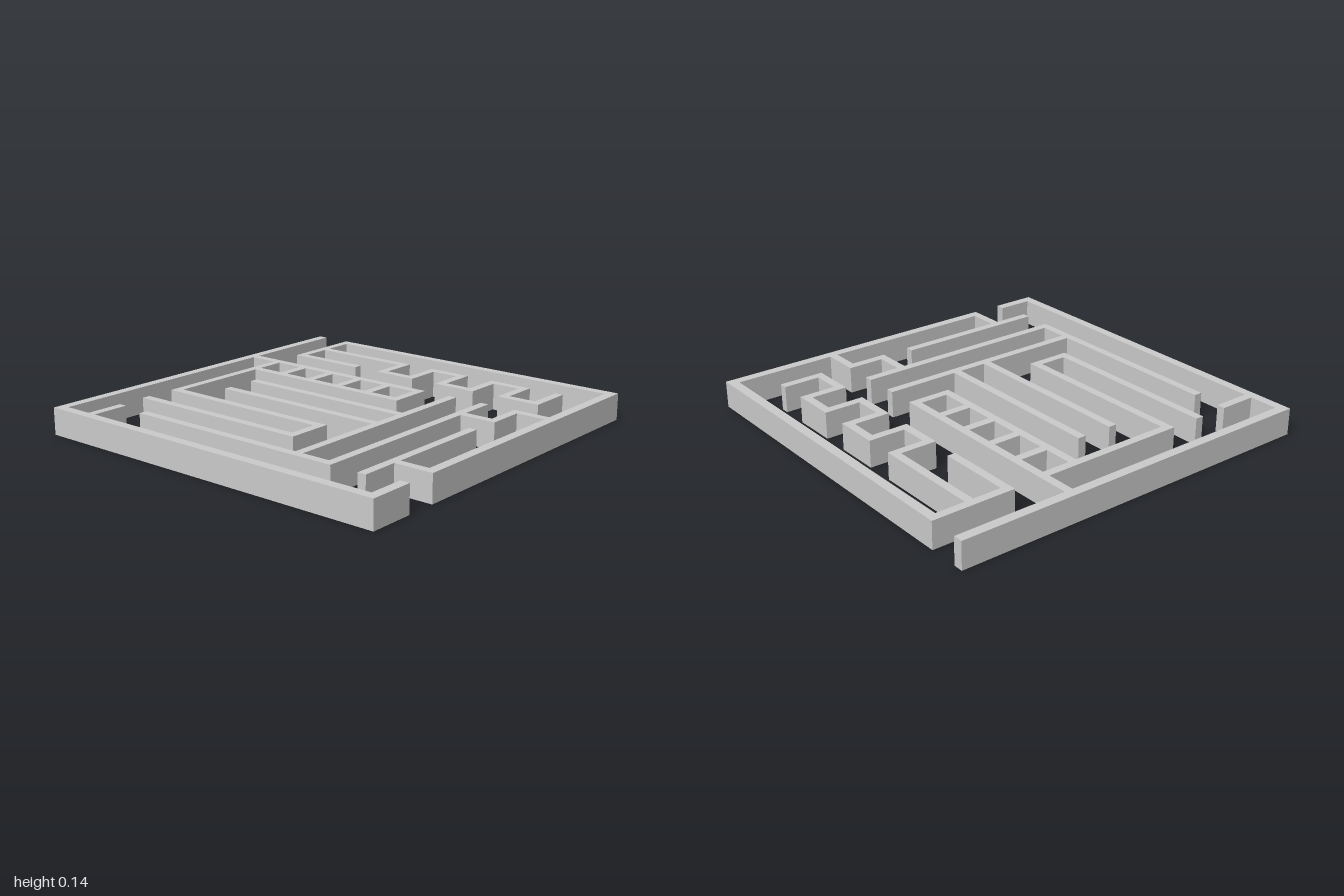
import * as THREE from 'three';

const HEIGHT = 0.14;
// Maze lines are numbered -5..5 on both axes; the outermost lines are slightly thicker.
const isOuter = k => Math.abs(k) === 5;
const pos = k => isOuter(k) ? Math.sign(k) * 0.975 : k * 0.1937;
const half = k => isOuter(k) ? 0.025 : 0.022;

// Walls running along x: [row, first column, last column]
const crossWalls = [
  [-5, -5, 5], [-4, -5, -4], [-4, -2, 2], [-4, 3, 5],
  [1, -3, -2], [2, -4, 2], [3, -4, 2], [4, -4, 0], [4, 1, 2],
  [5, -5, -4.05], [5, -3, 5],
];
// Ladder rungs and the zigzag on the right
for (let row = -3; row <= 1; row++) crossWalls.push([row, 1, 2]);
for (let row = -1; row <= 4; row++) crossWalls.push([row, 3, 4]);

// Walls running along z: [column, first row, last row]
const lengthWalls = [
  [-5, -5, 5], [-4, -3, 3], [-3, -4, 1], [-3, 4, 5], [-2, -4, 1],
  [-1, -3, 2], [0, -3, 2], [1, -4, 1], [1, 3, 4], [2, -5, 1], [2, 4, 5],
  [3, -4, -2], [3, -1, 0], [3, 1, 2], [3, 3, 4],
  [4, -4, -1], [4, 0, 1], [4, 2, 3], [5, -4, 5],
];

export function createModel() {
  const group = new THREE.Group();
  group.name = 'maze';
  const material = new THREE.MeshStandardMaterial({ color: 0xcccccc, flatShading: true });

  function addWall(name, x0, x1, z0, z1) {
    const wall = new THREE.Mesh(new THREE.BoxGeometry(x1 - x0, HEIGHT, z1 - z0), material);
    wall.name = name;
    wall.position.set((x0 + x1) / 2, HEIGHT / 2, (z0 + z1) / 2);
    group.add(wall);
  }

  for (const [row, c0, c1] of crossWalls) {
    addWall(isOuter(row) ? 'outerCrossWall' : 'innerCrossWall',
      pos(c0) - half(c0), pos(c1) + half(c1), pos(row) - half(row), pos(row) + half(row));
  }

  // Lengthwise walls are split so they butt against the cross walls without overlapping.
  for (const [col, r0, r1] of lengthWalls) {
    const name = isOuter(col) ? 'outerLengthWall' : 'innerLengthWall';
    const x0 = pos(col) - half(col), x1 = pos(col) + half(col);
    let start = pos(r0) - half(r0);
    for (let row = r0; row <= r1; row++) {
      const blocked = crossWalls.some(([r, c0, c1]) => r === row && c0 <= col && col <= c1);
      if (!blocked) continue;
      const end = pos(row) - half(row);
      if (end - start > 0.001) addWall(name, x0, x1, start, end);
      start = pos(row) + half(row);
    }
    const last = pos(r1) + half(r1);
    if (last - start > 0.001) addWall(name, x0, x1, start, last);
  }
  return group;
}
